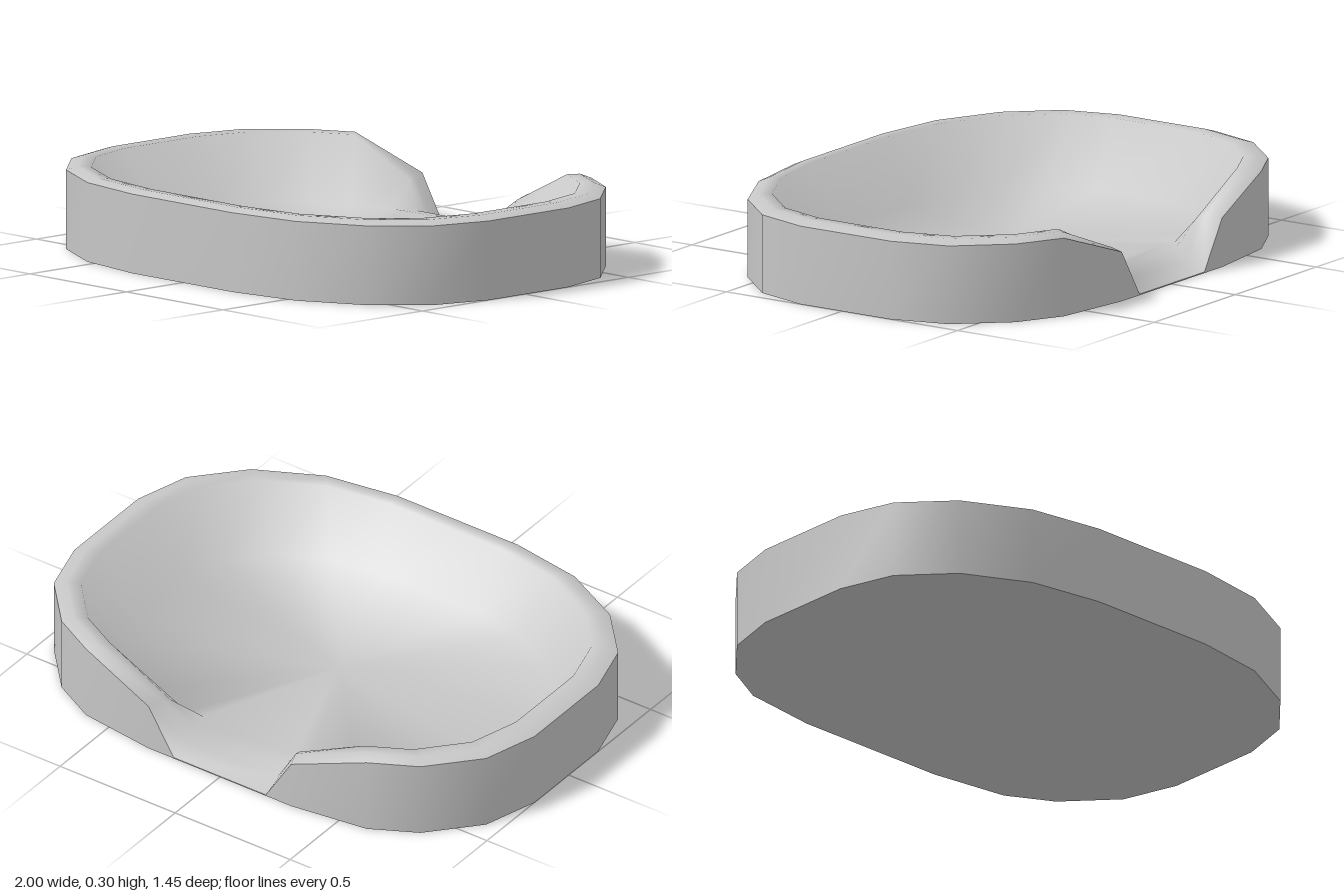
import * as THREE from 'three';

const glaze = new THREE.MeshStandardMaterial({ color: 0xc6c6c6 });
glaze.name = 'grey';

// Half outline (x, z), from the front middle round to the back
const HALF = [
  [0.26, 0.727], [0.54, 0.683], [0.78, 0.562], [0.94, 0.387], [1, 0.18],
  [1, -0.21], [0.94, -0.42], [0.78, -0.597], [0.61, -0.687],
];

// Rings of an ordinary column (scale, height): outer edge, crest, lip, wall foot
const PROFILE = [[1, 0.285], [0.955, 0.3], [0.905, 0.298], [0.763, 0.068]];

// Columns of the spout notch: its upper corner and its floor edge
const NOTCH = [
  [[0.31, 0.18, -0.727], [0.29, 0.185, -0.67], [0.28, 0.17, -0.635], [0.27, 0.075, -0.55]],
  [[0.2, 0.004, -0.727], [0.2, 0.04, -0.66], [0.205, 0.073, -0.6], [0.2, 0.078, -0.545]],
];

// Smooth normals in which every face around a corner counts the same
function smooth(geo) {
  const pos = geo.attributes.position, index = geo.index.array;
  const sums = Array.from({ length: pos.count }, () => new THREE.Vector3());
  const tri = new THREE.Triangle(), normal = new THREE.Vector3();
  for (let i = 0; i < index.length; i += 3) {
    const corners = index.slice(i, i + 3);
    tri.setFromAttributeAndIndices(pos, ...corners);
    tri.getNormal(normal);
    corners.forEach((c) => sums[c].add(normal));
  }
  const flat = sums.flatMap((v) => v.normalize().toArray());
  geo.setAttribute('normal', new THREE.Float32BufferAttribute(flat, 3));
  return geo;
}

// Joins rings of points into a smooth closed band, with an optional end point
function band(rings, end) {
  const n = rings[0].length;
  const pos = rings.flat(2);
  const index = [];
  for (let r = 0; r < rings.length - 1; r++) {
    for (let i = 0; i < n; i++) {
      const a = r * n + i, b = r * n + (i + 1) % n;
      index.push(a, b, b + n, a, b + n, a + n);
    }
  }
  if (end) {
    const base = (rings.length - 1) * n;
    pos.push(...end);
    for (let i = 0; i < n; i++) index.push(base + i, base + (i + 1) % n, rings.length * n);
  }
  const geo = new THREE.BufferGeometry();
  geo.setAttribute('position', new THREE.Float32BufferAttribute(pos, 3));
  geo.setIndex(index);
  return smooth(geo);
}

export function createModel() {
  const group = new THREE.Group();
  group.name = 'dish';
  const add = (geo, name) => {
    const mesh = new THREE.Mesh(geo, glaze);
    mesh.name = name;
    group.add(mesh);
  };

  // Mirror the columns to go all the way round
  const half = [...HALF.map(([x, z]) => PROFILE.map(([s, y]) => [x * s, y, z * s])), ...NOTCH];
  const mirrored = half.map((col) => col.map(([x, y, z]) => [-x, y, z])).reverse();
  const columns = [...half, ...mirrored];
  const rings = PROFILE.map((_, r) => columns.map((col) => col[r]));
  const foot = rings[0].map(([x, , z]) => [x, 0, z]);

  add(band([foot, rings[0]]), 'outerWall');
  add(band(rings, [0, 0.06, 0]), 'basin');
  add(band([[...foot].reverse()], [0, 0, 0]), 'underside');
  return group;
}
